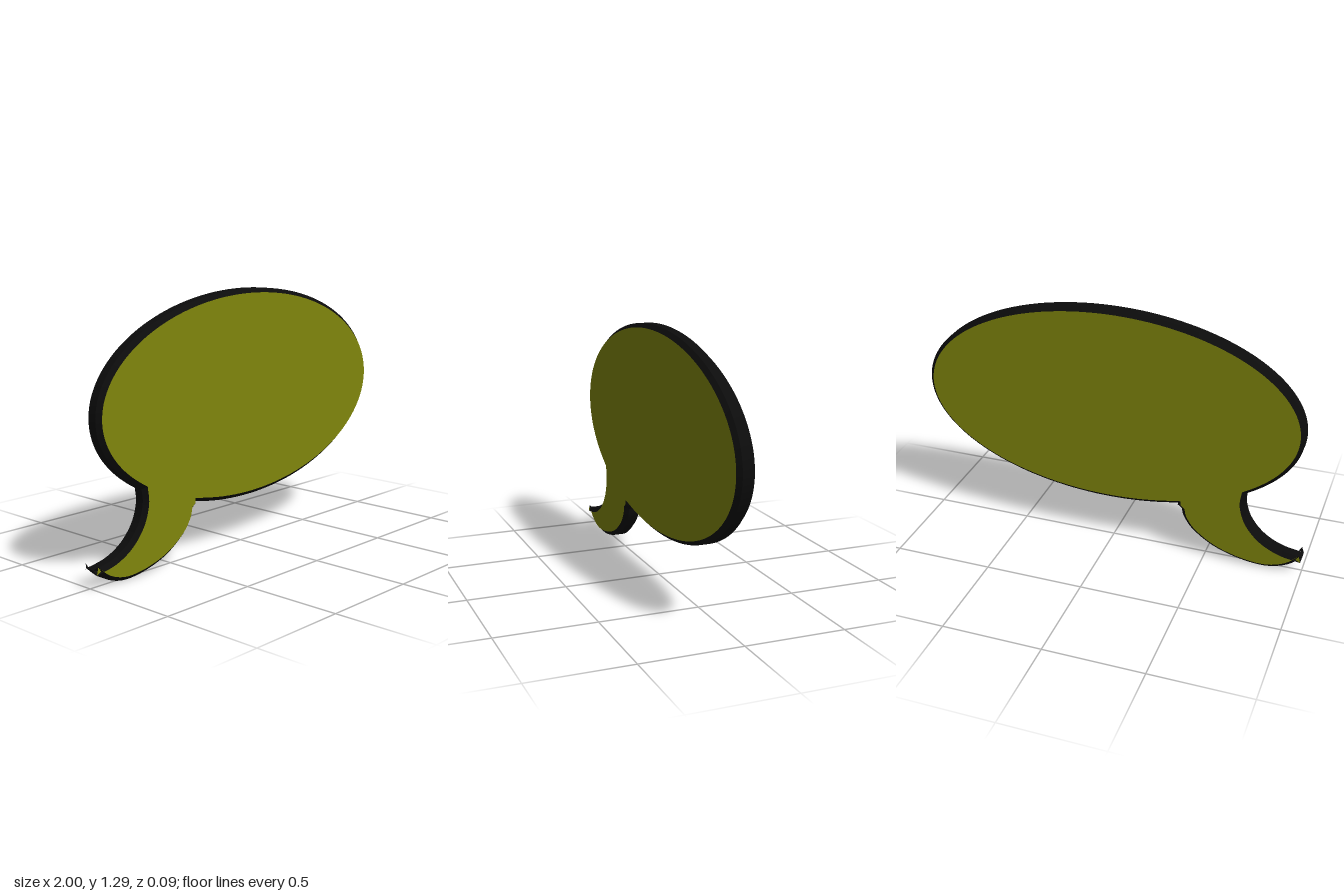
import * as THREE from 'three';
import { toCreasedNormals } from 'three/addons/utils/BufferGeometryUtils.js';

const DEPTH = 0.046, BEVEL = 0.021;

// Oval balloon outline with a curved tail sweeping to the lower left
function balloonShape() {
  const cx = 0.016, cy = 0.7635, rx = 0.981, ry = 0.5215;
  const angleAt = x => Math.acos((cx - x) / rx) + Math.PI;
  const shape = new THREE.Shape();
  shape.absellipse(cx, cy, rx, ry, angleAt(-0.35), angleAt(-0.7) + Math.PI * 2, false);
  // inner side of the tail, down to the tip
  shape.splineThru([[-0.694, 0.335], [-0.725, 0.243], [-0.795, 0.163], [-0.89, 0.113], [-1, 0.092]]
    .map(p => new THREE.Vector2(...p)));
  // outer side of the tail, back up to the notch
  shape.splineThru([[-0.925, 0.032], [-0.82, 0.001], [-0.69, 0.012], [-0.55, 0.057], [-0.44, 0.131], [-0.387, 0.2], [-0.372, 0.25]]
    .map(p => new THREE.Vector2(...p)));
  shape.lineTo(-0.35, 0.268);
  return shape;
}

// Copies one material group of a non-indexed geometry into its own geometry
function extractGroup(geometry, { start, count }) {
  const part = new THREE.BufferGeometry();
  for (const name of ['position', 'normal', 'uv']) {
    const { array, itemSize } = geometry.attributes[name];
    part.setAttribute(name, new THREE.BufferAttribute(
      array.slice(start * itemSize, (start + count) * itemSize), itemSize));
  }
  return part;
}

function makeMesh(name, geometry, color) {
  const mesh = new THREE.Mesh(geometry, new THREE.MeshStandardMaterial({ color }));
  mesh.name = name;
  return mesh;
}

export function createModel() {
  const solid = new THREE.ExtrudeGeometry(balloonShape(), {
    depth: DEPTH, curveSegments: 64, bevelEnabled: true, bevelSegments: 1,
    bevelThickness: BEVEL, bevelSize: BEVEL, bevelOffset: -BEVEL,
  });
  solid.translate(0, 0, -DEPTH / 2);

  const [caps, sides] = solid.groups;
  const model = new THREE.Group();
  model.name = 'speechBubble';
  model.add(
    // flat front and back panels
    makeMesh('facePanels', extractGroup(solid, caps), 0x80860c),
    // bevelled dark edge band
    makeMesh('rim', toCreasedNormals(extractGroup(solid, sides), 0.5), 0x0c0c0c),
  );
  return model;
}
